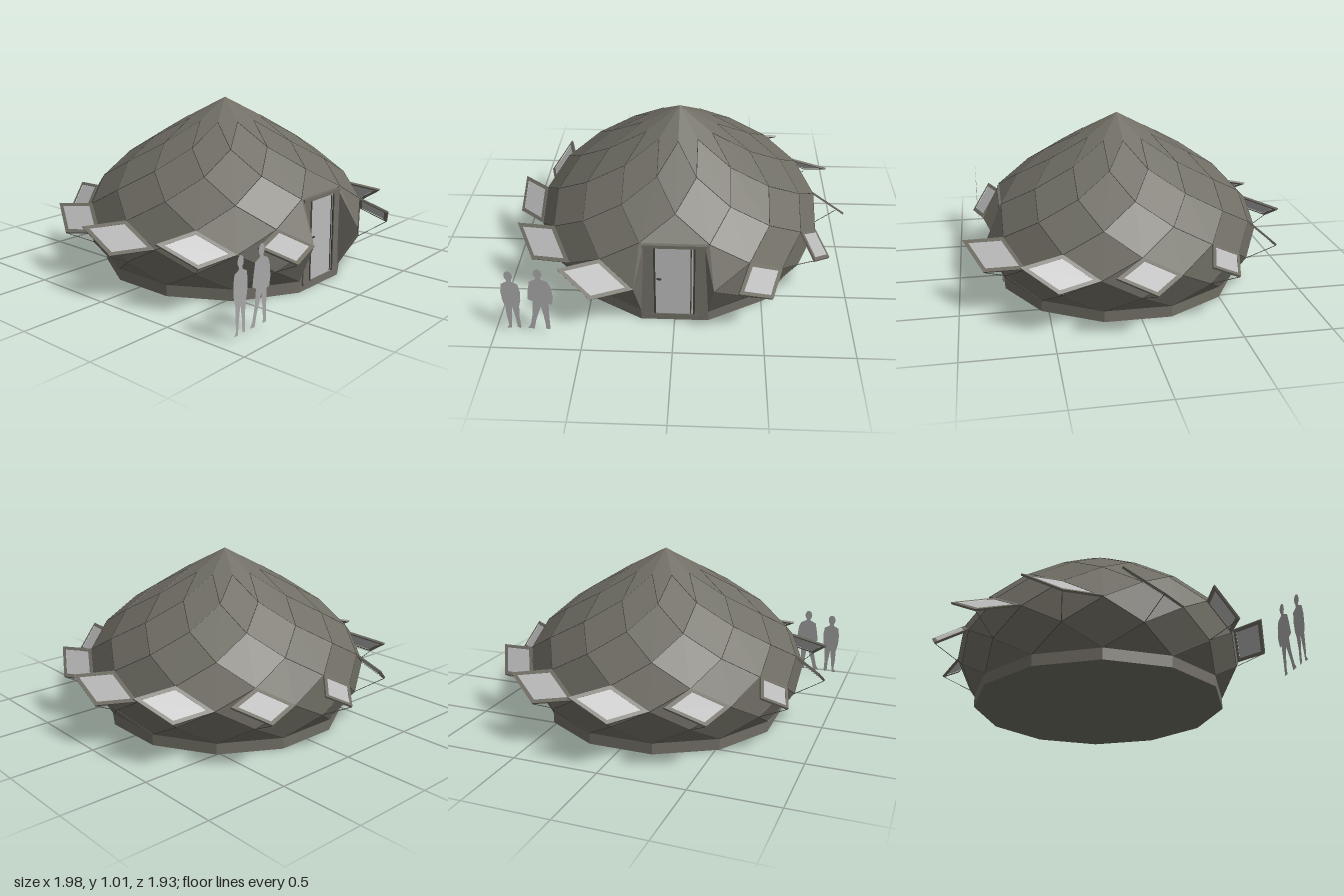
import * as THREE from 'three';
import { mergeGeometries } from 'three/addons/utils/BufferGeometryUtils.js';

const SIDES = 12, RADIUS = 0.85, TOP = 1.01, STEP = 0.118, CENTRE_Z = 0.02;
const V = (x, y, z) => new THREE.Vector3(x, y, z);
const mat = (name, color, side = THREE.FrontSide) => {
  const m = new THREE.MeshStandardMaterial({ color, side });
  m.name = name;
  return m;
};

// Vertex of the polar zonohedron: ring counted from the apex, angle from the front
function ring(k, deg) {
  const r = RADIUS * Math.sin((k * Math.PI) / SIDES), a = THREE.MathUtils.degToRad(deg);
  return V(r * Math.sin(a), TOP - STEP * k, r * Math.cos(a));
}

// Flat faces from a list of triangles (unshared corners keep them faceted)
function facets(tris) {
  const g = new THREE.BufferGeometry().setFromPoints(tris.flat());
  g.computeVertexNormals();
  return g;
}

function rod(a, b, r) {
  const d = b.clone().sub(a);
  const g = new THREE.CylinderGeometry(r, r, d.length(), 5);
  g.applyQuaternion(new THREE.Quaternion().setFromUnitVectors(V(0, 1, 0), d.normalize()));
  return g.translate(...a.clone().add(b).multiplyScalar(0.5).toArray());
}

export function createModel() {
  const model = new THREE.Group();
  model.name = 'facetedDomeHouse';
  const shellMat = mat('olive grey cladding', 0x706e64);
  const wallMat = mat('olive grey wall', 0x706e64, THREE.DoubleSide);
  const seamMat = mat('dark seam', 0x42413b);
  const glassMat = mat('pale glass', 0xbababa);
  const figureMat = mat('grey figure', 0xa6a6a6, THREE.DoubleSide);

  const dome = new THREE.Group();
  dome.name = 'dome';
  dome.position.z = CENTRE_Z;
  model.add(dome);
  const add = (name, geo, material, parent = dome) => {
    const m = new THREE.Mesh(geo, material);
    m.name = name;
    parent.add(m);
    return m;
  };

  // Rhombic cladding, left open at the front for the door bay
  const tris = [], seams = [];
  for (let k = 0; k <= 7; k++) {
    for (let j = -5; j <= 6; j++) {
      const a = 30 * j + (k % 2 ? 0 : -15);
      const top = ring(k, a), left = ring(k + 1, a - 15), right = ring(k + 1, a + 15);
      const atDoor = a === 0 && k >= 5;
      if (k === 7 || (k === 3 && a === 0)) {
        if (!atDoor) tris.push([top, left, right]);
      } else if (!atDoor) {
        const bottom = ring(k + 2, a), beside = k === 4 || k === 6;
        if (!(beside && a === 15)) tris.push([top, left, bottom]);
        if (!(beside && a === -15)) tris.push([top, bottom, right]);
      }
      // Panel seams
      for (const s of [-15, 15]) {
        const endAtDoor = a + s === 0 && k + 1 >= 5;
        if (!atDoor && !endAtDoor && k > 0) seams.push(rod(top, ring(k + 1, a + s), 0.002));
      }
    }
  }
  add('cladding', facets(tris), shellMat);
  add('panelSeams', mergeGeometries(seams), seamMat);

  // Twelve-sided plinth
  const plinthH = TOP - 8 * STEP;
  const r8 = RADIUS * Math.sin((8 * Math.PI) / SIDES);
  const plinth = new THREE.CylinderGeometry(r8, r8, plinthH, SIDES, 1, false, Math.PI / 12);
  plinth.translate(0, plinthH / 2, 0);
  const flatPlinth = plinth.toNonIndexed();
  flatPlinth.computeVertexNormals();
  add('plinth', flatPlinth, shellMat);

  // Door bay: cheeks on both sides, then frame, door and handle
  const doorZ = 0.711;
  const cheeks = [];
  for (const s of [-1, 1]) {
    const p = [V(s * 0.165, 0.53, doorZ), ring(4, s * 15), ring(6, s * 15), ring(8, s * 15), V(s * 0.165, 0.035, doorZ)];
    for (let i = 1; i < 4; i++) cheeks.push(s > 0 ? [p[0], p[i + 1], p[i]] : [p[0], p[i], p[i + 1]]);
  }
  add('doorCheeks', facets(cheeks), wallMat);
  const box = (name, w, h, d, x, y, z, m) =>
    add(name, new THREE.BoxGeometry(w, h, d).translate(x, y, z), m);
  for (const s of [-1, 1]) {
    box('doorJamb', 0.055, 0.495, 0.02, s * 0.1425, 0.28, doorZ, shellMat);
    box('doorFrameEdge', 0.01, 0.47, 0.026, s * 0.11, 0.28, doorZ, seamMat);
  }
  box('doorLintel', 0.35, 0.02, 0.026, 0, 0.522, doorZ, shellMat);
  box('doorSill', 0.33, 0.02, 0.026, 0, 0.042, doorZ, shellMat);
  box('door', 0.21, 0.46, 0.014, 0, 0.282, doorZ, glassMat);
  box('doorHingeStrip', 0.006, 0.45, 0.02, 0.092, 0.282, doorZ, seamMat);
  box('doorHandle', 0.025, 0.008, 0.03, -0.085, 0.3, doorZ, seamMat);

  // Tilted-open rhombic windows hinged on an upper panel edge
  const A = ring(5, 0), B = ring(6, 15);
  const out = V(-0.17, -0.03, 0.167);
  const u = B.clone().sub(A), n = out.clone().cross(u).normalize();
  const e1 = u.clone().normalize(), e2 = n.clone().cross(e1);
  const centre = A.clone().add(B).add(out).multiplyScalar(0.5);
  const place = new THREE.Matrix4().makeBasis(e1, e2, n).setPosition(centre);
  const corners = [A, B, B.clone().add(out), A.clone().add(out)].map((p) => {
    const d = p.clone().sub(centre);
    return new THREE.Vector2(d.dot(e1), d.dot(e2));
  });
  const scaled = (f) => corners.map((c) => c.clone().multiplyScalar(f));
  const plate = (shape, t) =>
    new THREE.ExtrudeGeometry(shape, { depth: t, bevelEnabled: false }).translate(0, 0, -t / 2).applyMatrix4(place);
  const frameShape = new THREE.Shape(scaled(1));
  frameShape.holes.push(new THREE.Path(scaled(0.79)));
  const frameGeo = plate(frameShape, 0.012);
  const glassGeo = plate(new THREE.Shape(scaled(0.8)), 0.006);
  const strutGeo = rod(B.clone().add(out), ring(7, 0), 0.002);
  for (let j = 1; j < SIDES; j++) {
    const win = new THREE.Group();
    win.name = 'window';
    win.rotation.y = (j * Math.PI) / 6;
    add('windowFrame', frameGeo, shellMat, win);
    add('windowGlass', glassGeo, glassMat, win);
    add('windowStrut', strutGeo, seamMat, win);
    dome.add(win);
  }

  // Two flat standing figures for scale
  const figure = (name, x, headX, headY, outline) => {
    const g = new THREE.Group();
    g.name = name;
    g.position.set(x, 0, 0.88);
    const body = new THREE.Shape(outline.map(([px, py]) => new THREE.Vector2(px, py)));
    add('body', new THREE.ShapeGeometry(body), figureMat, g);
    const head = new THREE.Shape().absellipse(headX, headY, 0.023, 0.032, 0, Math.PI * 2);
    add('head', new THREE.ShapeGeometry(head, 10), figureMat, g);
    model.add(g);
  };
  figure('leftFigure', -0.885, 0, 0.407, [
    [-0.012, 0.39], [-0.014, 0.368], [-0.045, 0.352], [-0.053, 0.3], [-0.05, 0.24], [-0.038, 0.19],
    [-0.036, 0.12], [-0.03, 0.06], [-0.045, 0.037], [-0.018, 0.037], [-0.012, 0.1], [0, 0.19],
    [0.012, 0.11], [0.016, 0.045], [0.032, 0.036], [0.037, 0.05], [0.034, 0.12], [0.04, 0.2],
    [0.05, 0.235], [0.054, 0.3], [0.046, 0.35], [0.014, 0.368], [0.012, 0.39]]);
  figure('rightFigure', -0.725, 0, 0.425, [
    [-0.012, 0.41], [-0.014, 0.39], [-0.05, 0.372], [-0.062, 0.31], [-0.07, 0.25], [-0.042, 0.235],
    [-0.05, 0.15], [-0.068, 0.07], [-0.085, 0.04], [-0.05, 0.036], [-0.035, 0.1], [0, 0.2],
    [0.01, 0.13], [0.016, 0.06], [0.012, 0.037], [0.04, 0.037], [0.04, 0.12], [0.044, 0.22],
    [0.062, 0.215], [0.072, 0.27], [0.064, 0.34], [0.05, 0.372], [0.014, 0.39], [0.012, 0.41]]);

  return model;
}
